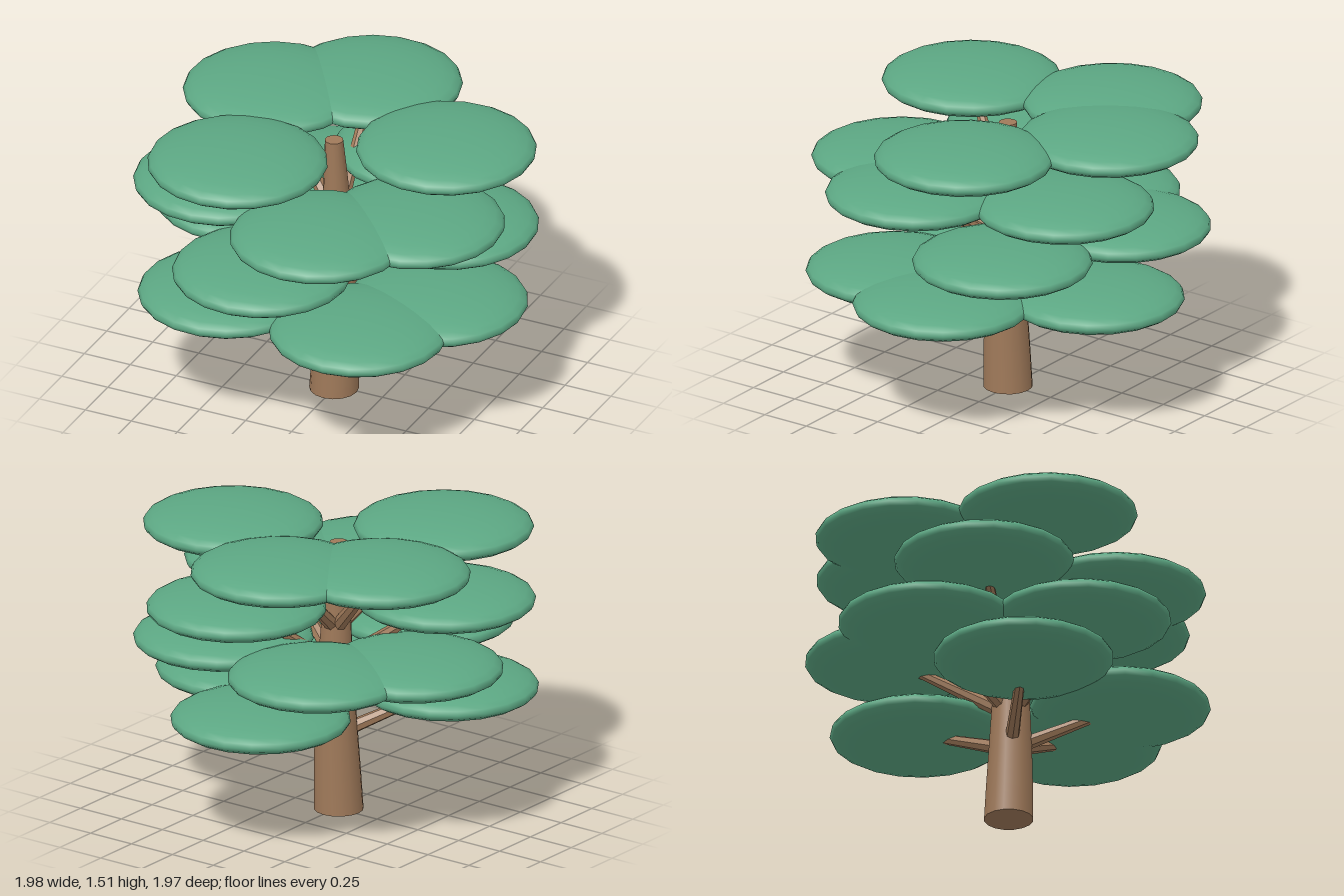
import * as THREE from 'three';

const bark = new THREE.MeshStandardMaterial({ color: 0xa07a5a });
bark.name = 'bark';
const foliage = new THREE.MeshStandardMaterial({ color: 0x5ca783 });
foliage.name = 'foliage';

const TIERS = 4, PER_TIER = 4;
const GOLDEN_ANGLE = THREE.MathUtils.degToRad(137.5);
const REACH = 0.553;          // distance of each pad from the trunk axis
const TRUNK_HEIGHT = 1.39;

// Slightly wandering trunk centre line
function trunkCentre(y) {
  const t = y / TRUNK_HEIGHT;
  return new THREE.Vector3(-0.007 + 0.02 * Math.sin(Math.PI * t), y, 0.012);
}

// Tapered trunk, its rings resized and shifted along the centre line
function makeTrunk() {
  const geo = new THREE.CylinderGeometry(1, 1, TRUNK_HEIGHT, 16, 8);
  geo.translate(0, TRUNK_HEIGHT / 2, 0);
  const pos = geo.attributes.position;
  for (let i = 0; i < pos.count; i++) {
    const y = Math.max(0, pos.getY(i));
    const r = 0.122 - 0.077 * Math.pow(y / TRUNK_HEIGHT, 1.3);
    const c = trunkCentre(y);
    pos.setXYZ(i, c.x + pos.getX(i) * r, y, c.z + pos.getZ(i) * r);
  }
  const mesh = new THREE.Mesh(geo, bark);
  mesh.name = 'trunk';
  return mesh;
}

// Faceted, tapered branch between two points
function makeBranch(from, to) {
  const dir = to.clone().sub(from);
  const geo = new THREE.CylinderGeometry(0.02, 0.038, dir.length(), 7).toNonIndexed();
  geo.computeVertexNormals();
  const mesh = new THREE.Mesh(geo, bark);
  mesh.position.copy(from).addScaledVector(dir, 0.5);
  mesh.quaternion.setFromUnitVectors(new THREE.Vector3(0, 1, 0), dir.normalize());
  mesh.name = 'branch';
  return mesh;
}

export function createModel() {
  const tree = new THREE.Group();
  tree.name = 'tieredTree';
  tree.add(makeTrunk());

  // Flattened leaf pad shared by every branch
  const padGeo = new THREE.SphereGeometry(0.443, 20, 14);
  padGeo.scale(1, 0.095 / 0.443, 1);

  for (let tier = 0; tier < TIERS; tier++) {
    const group = new THREE.Group();
    group.name = `foliageTier${tier + 1}`;
    const padY = 0.622 + tier * 0.263;
    const root = trunkCentre(0.385 + tier * 0.183);
    for (let k = 0; k < PER_TIER; k++) {
      // Spiral the branches round the trunk
      const a = (tier * PER_TIER + k) * GOLDEN_ANGLE;
      const tip = new THREE.Vector3(Math.cos(a) * REACH, padY, Math.sin(a) * REACH);
      const pad = new THREE.Mesh(padGeo, foliage);
      pad.position.copy(tip);
      pad.rotation.y = -a;
      pad.name = 'leafPad';
      group.add(makeBranch(root, tip), pad);
    }
    tree.add(group);
  }
  return tree;
}
